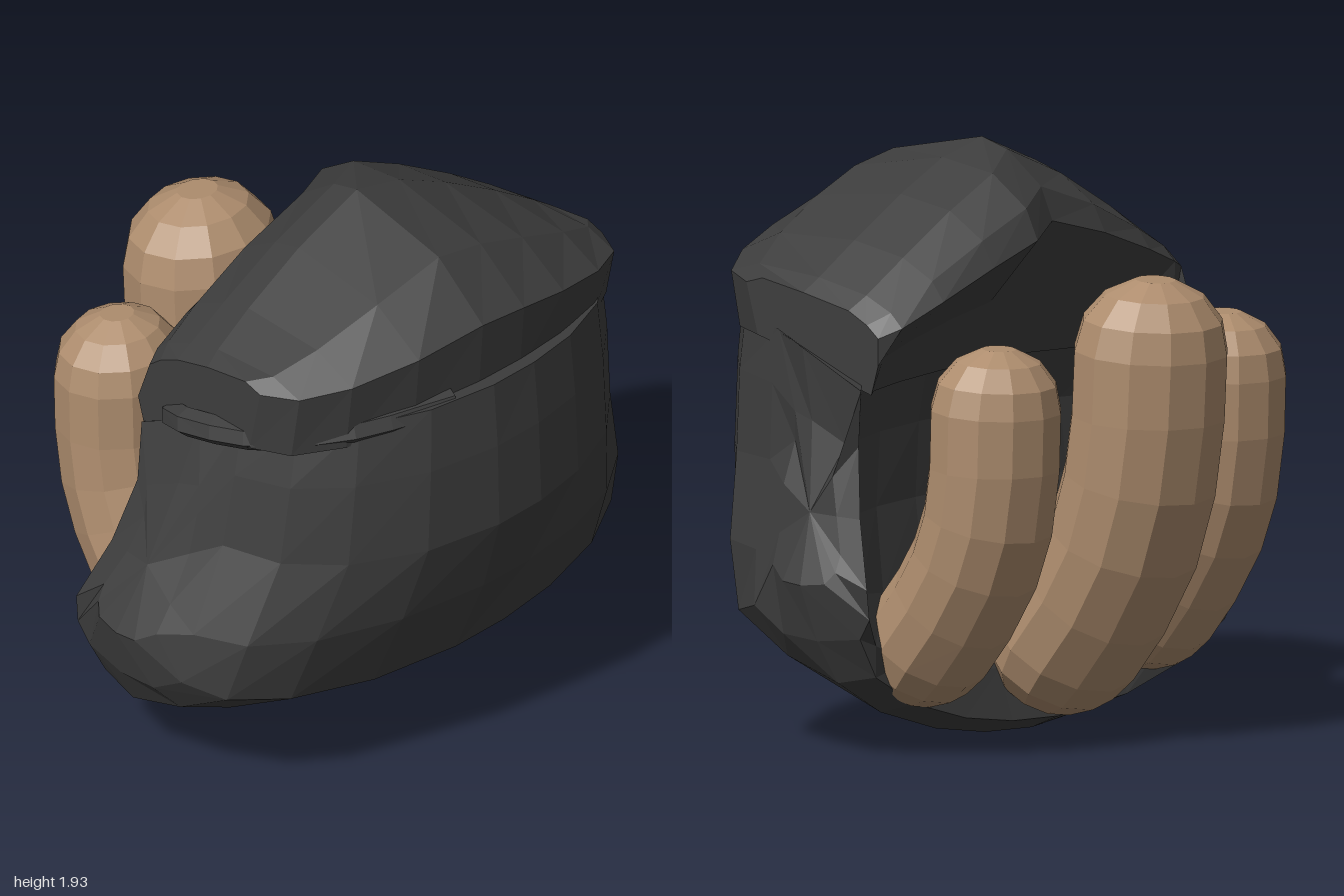
import * as THREE from 'three';

const dark = new THREE.MeshStandardMaterial({ color: 0x3d3d3d, flatShading: true });
dark.name = 'charcoal';
const tan = new THREE.MeshStandardMaterial({ color: 0xae8d6e, flatShading: true });
tan.name = 'tan';
const { lerp } = THREE.MathUtils;

function centre(ring) {
  const c = new THREE.Vector3();
  ring.forEach(p => c.addScaledVector(p, 1 / ring.length));
  return c;
}

// Skin a list of equal-length rings, closing both ends with fans
function loft(rings) {
  const n = rings[0].length, pos = [], idx = [];
  rings.forEach(r => r.forEach(p => pos.push(p.x, p.y, p.z)));
  for (let i = 0; i < rings.length - 1; i++) {
    for (let j = 0; j < n; j++) {
      const a = i * n + j, b = i * n + (j + 1) % n;
      idx.push(a, b, b + n, a, b + n, a + n);
    }
  }
  [0, rings.length - 1].forEach(i => {
    const c = centre(rings[i]), k = pos.length / 3;
    pos.push(c.x, c.y, c.z);
    for (let j = 0; j < n; j++) {
      const a = i * n + j, b = i * n + (j + 1) % n;
      if (i) idx.push(k, a, b); else idx.push(k, b, a);
    }
  });
  // Turn the faces outward if the enclosed volume is negative
  const at = i => new THREE.Vector3().fromArray(pos, i * 3);
  let vol = 0;
  for (let i = 0; i < idx.length; i += 3) vol += at(idx[i]).dot(at(idx[i + 1]).cross(at(idx[i + 2])));
  if (vol < 0) idx.reverse();
  const g = new THREE.BufferGeometry();
  g.setAttribute('position', new THREE.Float32BufferAttribute(pos, 3));
  g.setIndex(idx);
  g.computeVertexNormals();
  return g;
}

function add(group, name, geometry, material) {
  const m = new THREE.Mesh(geometry, material);
  m.name = name;
  group.add(m);
}

// Sweep across x, blending a middle profile into an end profile.
// Row: [middle z, middle y, end z, end y]; reach(sign, y, z) gives the x of the end wall
function sweep(rows, reach, point) {
  const stations = [-1, -0.92, -0.72, -0.4, -0.04, 0.2, 0.45, 0.72, 0.92, 1];
  const rings = stations.map(u => rows.map(row => {
    const [z, y] = point(row, u);
    return new THREE.Vector3(u * reach(Math.sign(u), row[3], row[2]), y, z);
  }));
  // Inset ring on each end so that the walls bulge
  const inset = (ring, sign) => {
    const c = centre(ring);
    return ring.map(p => {
      const q = p.clone().lerp(c, 0.45);
      q.x = sign * reach(sign, q.y, q.z);
      return q;
    });
  };
  return loft([inset(rings[0], -1), ...rings, inset(rings[rings.length - 1], 1)]);
}

// Side outline of the palm: [y, reach to -x, reach to +x]
const outline = [
  [0.30, 0.89, 0.89], [0.42, 0.97, 0.96], [0.55, 1.01, 1.01], [0.70, 0.94, 0.94], [0.80, 0.88, 0.91],
  [0.90, 0.83, 0.91], [1.03, 0.80, 0.85], [1.30, 0.74, 0.89], [1.40, 0.69, 0.85],
];
function palmReach(sign, y, z) {
  const col = sign < 0 ? 1 : 2, last = outline.length - 1;
  let i = 0;
  while (i < last - 1 && y > outline[i + 1][0]) i++;
  const a = outline[i], b = outline[i + 1];
  const t = THREE.MathUtils.clamp((y - a[0]) / (b[0] - a[0]), 0, 1);
  return lerp(a[col], b[col], t) * (1 - 0.8 * (z - 0.06) ** 2);
}

// Bent capsule with domed ends
function finger(x, path, rx, rz) {
  const curve = new THREE.CatmullRomCurve3(path.map(([z, y]) => new THREE.Vector3(x, y, z)));
  const side = new THREE.Vector3(1, 0, 0), rings = [];
  const ring = (t, out, scale) => {
    const c = curve.getPoint(t), d = curve.getTangent(t);
    const across = new THREE.Vector3().crossVectors(d, side).normalize();
    c.addScaledVector(d, out);
    const pts = [];
    for (let j = 0; j < 12; j++) {
      const a = j / 12 * Math.PI * 2;
      pts.push(c.clone().addScaledVector(side, Math.cos(a) * rx * scale)
        .addScaledVector(across, Math.sin(a) * rz * scale));
    }
    rings.push(pts);
  };
  [75, 50, 25].forEach(a => ring(0, -rz * Math.sin(a * Math.PI / 180), Math.cos(a * Math.PI / 180)));
  for (let i = 0; i <= 5; i++) ring(i / 5, 0, 1);
  [25, 50, 75].forEach(a => ring(1, rz * Math.sin(a * Math.PI / 180), Math.cos(a * Math.PI / 180)));
  return loft(rings);
}

export function createModel() {
  const group = new THREE.Group();
  group.name = 'cuppedHand';
  const round = u => 1 - Math.sqrt(1 - u * u);

  // Cupped palm: front shell, top, then hollow back
  add(group, 'palm', sweep([
    [-0.04, 0, 0.02, 0.39],
    [0.30, 0.17, 0.17, 0.40],
    [0.65, 0.38, 0.30, 0.48],
    [0.78, 0.68, 0.32, 0.66],
    [0.85, 0.95, 0.32, 0.95],
    [0.84, 1.25, 0.32, 1.20],
    [0.82, 1.48, 0.30, 1.38],
    [0.50, 1.40, 0.15, 1.34],
    [0.05, 1.25, -0.10, 1.22],
    [0.10, 1.05, -0.07, 1.03],
    [0.10, 0.80, -0.12, 0.80],
    [0.04, 0.50, -0.20, 0.58],
    [-0.10, 0.22, -0.20, 0.48],
    [-0.16, 0.05, -0.15, 0.41],
  ], palmReach, ([zc, yc, zs, ys], u) => [lerp(zc, zs, round(u)), lerp(yc, ys, round(u) ** 0.93)]), dark);

  // Folded ridge overhanging the palm, undercut at the back and set further forward on the right
  add(group, 'foldedTop', sweep([
    [0.75, 1.42, 0.40, 1.35],
    [0.77, 1.69, 0.45, 1.52],
    [0.56, 1.86, 0.38, 1.54],
    [0.17, 1.94, 0.20, 1.51],
    [-0.05, 1.91, 0.00, 1.47],
    [-0.20, 1.80, -0.08, 1.43],
    [-0.25, 1.69, -0.13, 1.39],
    [-0.04, 1.45, -0.13, 1.30],
    [0.02, 1.23, -0.10, 1.20],
    [0.15, 1.25, 0.10, 1.26],
    [0.45, 1.35, 0.28, 1.32],
  ], sign => sign < 0 ? 0.73 : 0.81, ([zc, yc, zs, ys], u) => {
    const k = round(u), right = u < 0;
    const z = lerp(zc, zs, k) + (right && zc < -0.04 ? 0.11 * (1 - 0.5 * k) : 0);
    const lift = right && yc > 1.6 ? 0.06 : 0;
    return [z, lerp(yc, ys + lift, Math.abs(u) ** 1.3)];
  }), dark);

  // Rolled lip on the seam, wrapping round the right side
  const lip = new THREE.CatmullRomCurve3([
    [-0.64, 1.25, -0.04], [-0.755, 1.33, 0.1], [-0.69, 1.37, 0.38], [-0.5, 1.42, 0.62], [-0.15, 1.44, 0.75],
  ].map(p => new THREE.Vector3(...p)));
  add(group, 'seamLip', new THREE.TubeGeometry(lip, 10, 0.05, 6), dark);

  // Three curled fingers behind the palm
  const sidePath = [[-0.45, 1.165], [-0.43, 0.85], [-0.335, 0.6], [-0.15, 0.36]];
  add(group, 'middleFinger', finger(0, [[-0.6, 1.31], [-0.57, 0.95], [-0.45, 0.6], [-0.23, 0.31]], 0.275, 0.245), tan);
  add(group, 'rightFinger', finger(-0.51, sidePath, 0.228, 0.21), tan);
  add(group, 'leftFinger', finger(0.59, sidePath, 0.232, 0.21), tan);
  return group;
}
